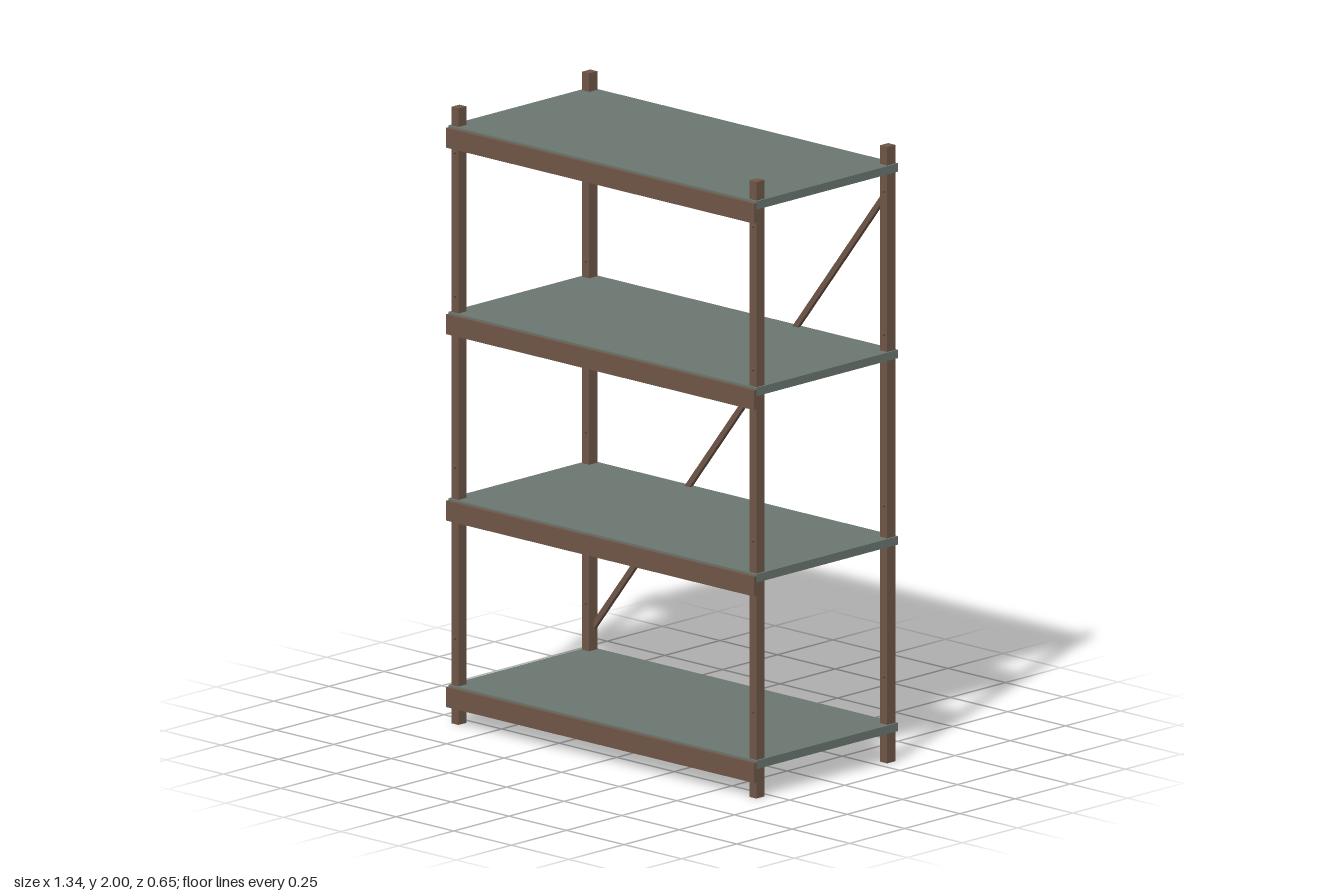
import * as THREE from 'three';

export function createModel() {
  const model = new THREE.Group();
  model.name = 'shelvingUnit';
  const frameMat = new THREE.MeshStandardMaterial({ color: 0x6f5747 });
  const shelfMat = new THREE.MeshStandardMaterial({ color: 0x6b7770 });

  const add = (name, geometry, material, x, y, z) => {
    const mesh = new THREE.Mesh(geometry, material);
    mesh.name = name;
    mesh.position.set(x, y, z);
    model.add(mesh);
    return mesh;
  };

  const midZ = -0.006; // shelves sit slightly back, behind the front beams
  const postX = 0.647, postZ = 0.296, postDepth = 0.037;

  // Four corner posts, each with a row of small bolts on its front face
  const postGeo = new THREE.BoxGeometry(0.031, 2, postDepth);
  const boltGeo = new THREE.CylinderGeometry(0.006, 0.006, 0.01, 10).rotateX(Math.PI / 2);
  for (const sx of [-1, 1]) {
    for (const sz of [-1, 1]) {
      const side = (sz > 0 ? 'front' : 'back') + (sx > 0 ? 'Left' : 'Right');
      const z = midZ + sz * postZ;
      add(side + 'Post', postGeo, frameMat, sx * postX, 1, z);
      for (const y of [0.28, 0.835, 1.39, 1.855])
        add(side + 'Bolt', boltGeo, frameMat, sx * postX, y, z + postDepth / 2 + 0.004);
    }
  }

  // Shelf boards with a beam along each front edge
  const shelfGeo = new THREE.BoxGeometry(1.338, 0.027, 0.642);
  const beamGeo = new THREE.BoxGeometry(1.338, 0.064, 0.018);
  for (let i = 0; i < 4; i++) {
    const top = 0.125 + i * 0.605;
    add('shelf', shelfGeo, shelfMat, 0, top - 0.0135, midZ);
    add('frontBeam', beamGeo, frameMat, 0, top - 0.038, 0.318);
  }

  // Diagonal brace across the back, from low right to high left
  const a = new THREE.Vector2(-0.645, 0.19), b = new THREE.Vector2(0.645, 1.855);
  const brace = add('backBrace', new THREE.BoxGeometry(a.distanceTo(b), 0.018, 0.014),
    frameMat, 0, (a.y + b.y) / 2, -0.311);
  brace.rotation.z = b.clone().sub(a).angle();

  return model;
}
